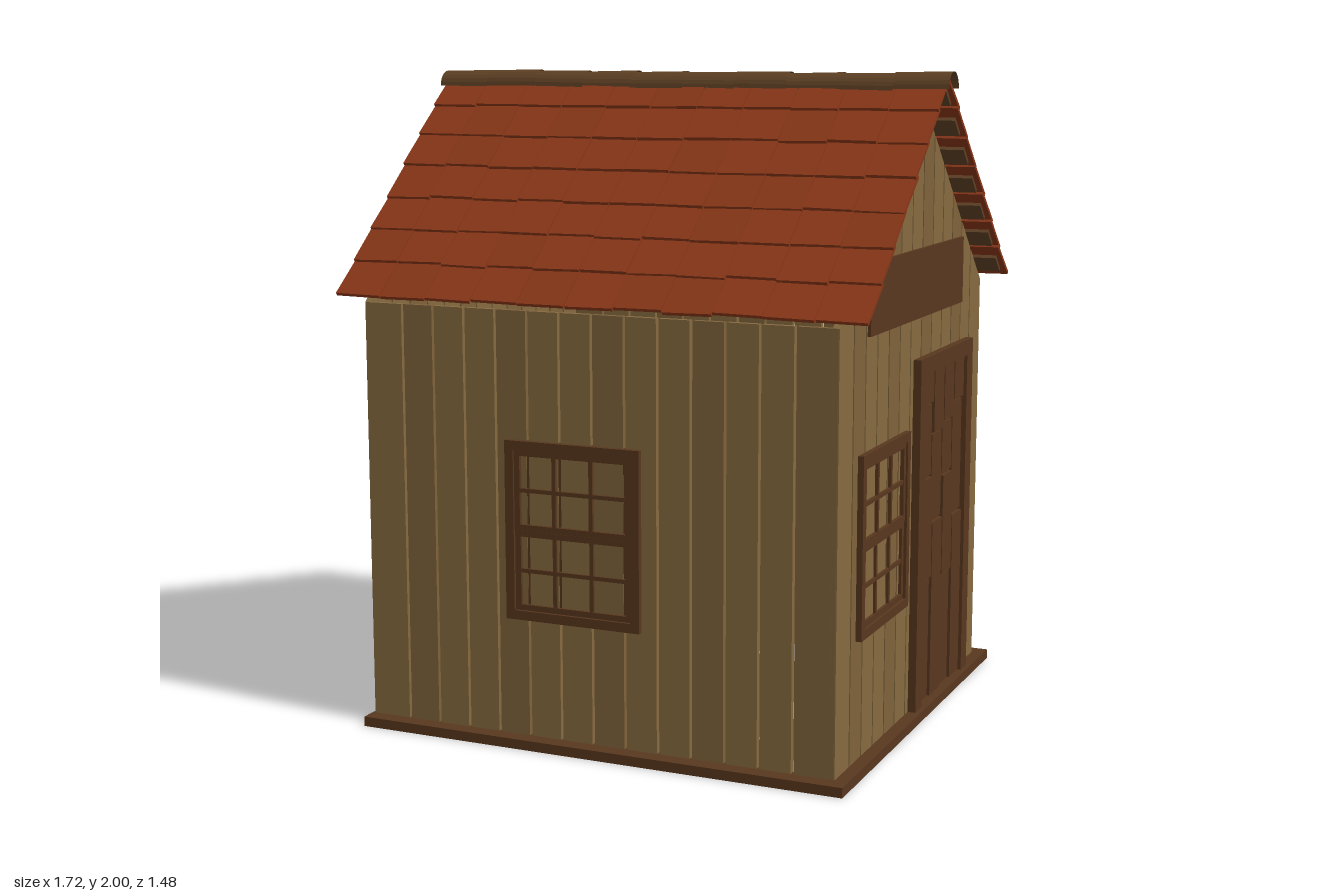
import * as THREE from 'three';

const mat = (color) => new THREE.MeshStandardMaterial({ color, flatShading: true, side: THREE.DoubleSide });
const WALL = mat(0x866a40), WALL2 = mat(0x7f633b), TRIM = mat(0x58371e), TILE = mat(0x883617), RIDGE = mat(0x5e4024);

// Small seeded generator, -1..1
let seed = 7;
const jitter = (a) => {
  seed = (seed * 16807) % 2147483647;
  return (seed / 2147483647 * 2 - 1) * a;
};

function box(parent, name, w, h, d, x, y, z, m) {
  const mesh = new THREE.Mesh(new THREE.BoxGeometry(w, h, d), m);
  mesh.position.set(x, y, z);
  mesh.name = name;
  parent.add(mesh);
  return mesh;
}

function group(parent, name) {
  const g = new THREE.Group();
  g.name = name;
  parent.add(g);
  return g;
}

// Rectangular frame of four bars in the XY plane; x, y is the centre
function frame(parent, name, w, h, bar, d, x, y, z) {
  for (const s of [-1, 1]) {
    box(parent, name, bar, h, d, x + s * (w - bar) / 2, y, z, TRIM);
    box(parent, name, w - 2 * bar, bar, d, x, y + s * (h - bar) / 2, z, TRIM);
  }
}

const APEX = 1.95, SLOPE = 0.925, HALF_D = 0.69, HALF_W = 0.75, T = 0.02;

// Row of upright planks; top(x) gives the height, so gables follow the roof
function plankWall(parent, name, edges, top) {
  const wall = group(parent, name);
  for (let i = 0; i < edges.length - 1; i++) {
    const a = edges[i] + (i ? 0.004 : 0);
    const b = edges[i + 1] - (i < edges.length - 2 ? 0.004 : 0);
    const pts = [[a, 0.01], [b, 0.01], [b, top(b)]];
    if (a < 0 && b > 0) pts.push([0, top(0)]);
    pts.push([a, top(a)]);
    const shape = new THREE.Shape(pts.map((p) => new THREE.Vector2(...p)));
    const geo = new THREE.ExtrudeGeometry(shape, { depth: T, bevelEnabled: false });
    const plank = new THREE.Mesh(geo, i % 3 === 1 ? WALL2 : WALL);
    plank.name = 'wallPlank';
    plank.position.z = -T;
    wall.add(plank);
  }
  return wall;
}

// Window with a raised upper sash, facing local +z with the wall face at z = 0
function windowUnit(parent, x) {
  const g = group(parent, 'window');
  g.position.set(x, 0.66, 0);
  frame(g, 'windowFrame', 0.435, 0.54, 0.028, 0.05, 0, 0, -0.007);
  box(g, 'windowPane', 0.38, 0.485, 0.026, 0, 0, -0.014, TRIM);
  for (const s of [-1, 1]) {
    const y = s * 0.1215, z = s > 0 ? 0.006 : 0.003;
    frame(g, 'sash', 0.379, 0.242, 0.018, 0.012, 0, y, z);
    for (const k of [-1, 1]) box(g, 'muntin', 0.012, 0.206, 0.01, k * 0.06, y, z, TRIM);
    box(g, 'muntin', 0.343, 0.012, 0.01, 0, y, z, TRIM);
  }
  for (const k of [-1, 1]) box(g, 'innerMuntin', 0.012, 0.485, 0.01, k * 0.06, 0, -0.03, TRIM);
  for (const k of [-1, 0, 1]) box(g, 'innerMuntin', 0.38, 0.012, 0.01, 0, k * 0.12, -0.03, TRIM);
}

// Door made of short boards with staggered seams inside a heavy frame
function door(parent, x) {
  const g = group(parent, 'door');
  g.position.set(x, 0, 0);
  for (const s of [-1, 1]) box(g, 'doorPost', 0.062, 1.105, 0.05, s * 0.247, 0.5825, 0, TRIM);
  box(g, 'doorLintel', 0.432, 0.05, 0.05, 0, 1.11, 0, TRIM);
  box(g, 'doorLeaf', 0.432, 1.055, 0.024, 0, 0.5575, -0.01, TRIM);
  const seams = [[0.42, 0.75, 0.98], [0.6, 0.88], [0.4, 0.73, 0.9], [0.58, 0.95]];
  seams.forEach((list, i) => {
    const ys = [0.03, ...list, 1.085];
    for (let j = 0; j < ys.length - 1; j++) {
      box(g, 'doorBoard', 0.1, ys[j + 1] - ys[j] - 0.008, 0.012,
        -0.162 + i * 0.108, (ys[j] + ys[j + 1]) / 2, 0.004 + ((i + j) % 2) * 0.006, TRIM);
    }
  });
}

// One roof pitch: local +z runs down the slope, +y points outward
function roofPitch(parent, name, back) {
  const turn = group(parent, name);
  turn.rotation.y = back ? Math.PI : 0;
  const pitch = group(turn, 'pitch');
  pitch.position.y = 1.965;
  pitch.rotation.x = Math.atan(SLOPE);
  const rows = 7, cols = 11, step = 0.949 / rows, w = 1.69 / cols;
  for (let r = 0; r < rows; r++) {
    box(pitch, 'batten', 1.66, 0.012, 0.07, 0, -0.006, (r + 0.42) * step, RIDGE);
    for (let c = 0; c < cols; c++) {
      const tile = box(pitch, 'roofTile', w - 0.003, 0.011, step + 0.02,
        -0.845 + (c + 0.5) * w, 0.011 + jitter(0.0015), (r + 0.5) * step - 0.01 + jitter(0.004), TILE);
      tile.rotation.set(-0.07 + jitter(0.012), jitter(0.02), jitter(0.012));
    }
  }
}

export function createModel() {
  const house = new THREE.Group();
  house.name = 'woodenHouse';

  // Ground sill, open in the middle
  for (const s of [-1, 1]) {
    box(house, 'sill', 1.56, 0.03, 0.07, 0.016, 0.015, s * 0.705, TRIM);
    box(house, 'sill', s > 0 ? 0.08 : 0.055, 0.03, 1.34, s > 0 ? 0.756 : -0.7365, 0.015, 0, TRIM);
  }

  // Long walls and gables
  const longEdges = [-HALF_W], gableEdges = [-HALF_D];
  for (let i = -6; i <= 6; i++) longEdges.push(i * 0.1045);
  for (let i = -6; i < 6; i++) gableEdges.push((i + 0.5) * 0.1035);
  longEdges.push(HALF_W);
  gableEdges.push(HALF_D);
  const eave = () => 1.312;
  const gable = (x) => APEX - SLOPE * Math.abs(x);
  plankWall(house, 'frontWall', longEdges, eave).position.z = HALF_D;
  const backWall = plankWall(house, 'backWall', longEdges, eave);
  backWall.position.z = -HALF_D;
  backWall.rotation.y = Math.PI;
  for (const s of [-1, 1]) {
    const wall = plankWall(house, s > 0 ? 'doorGable' : 'plainGable', gableEdges, gable);
    wall.position.x = s * 0.755;
    wall.rotation.y = s * Math.PI / 2;
  }

  // Front window
  const front = group(house, 'frontFittings');
  front.position.z = HALF_D;
  windowUnit(front, -0.06);

  // Gable window, door and plain board
  const side = group(house, 'gableFittings');
  side.position.x = 0.755;
  side.rotation.y = Math.PI / 2;
  windowUnit(side, -0.3075);
  door(side, 0.2575);
  box(side, 'gableBoard', 0.91, 0.21, 0.02, 0, 1.365, 0, TRIM);

  // Tiled roof
  roofPitch(house, 'frontRoof', false);
  roofPitch(house, 'backRoof', true);

  // Ridge caps
  const caps = 10, len = 1.71 / caps;
  for (let i = 0; i < caps; i++) {
    const geo = new THREE.CylinderGeometry(0.048, 0.051, len + 0.008, 12, 1, true, 0, Math.PI);
    geo.rotateZ(Math.PI / 2);
    const cap = new THREE.Mesh(geo, RIDGE);
    cap.name = 'ridgeCap';
    cap.position.set(-0.857 + (i + 0.5) * len, 1.945 + jitter(0.003), -0.003 + jitter(0.004));
    cap.rotation.set(0, jitter(0.02), jitter(0.02));
    house.add(cap);
  }
  return house;
}
